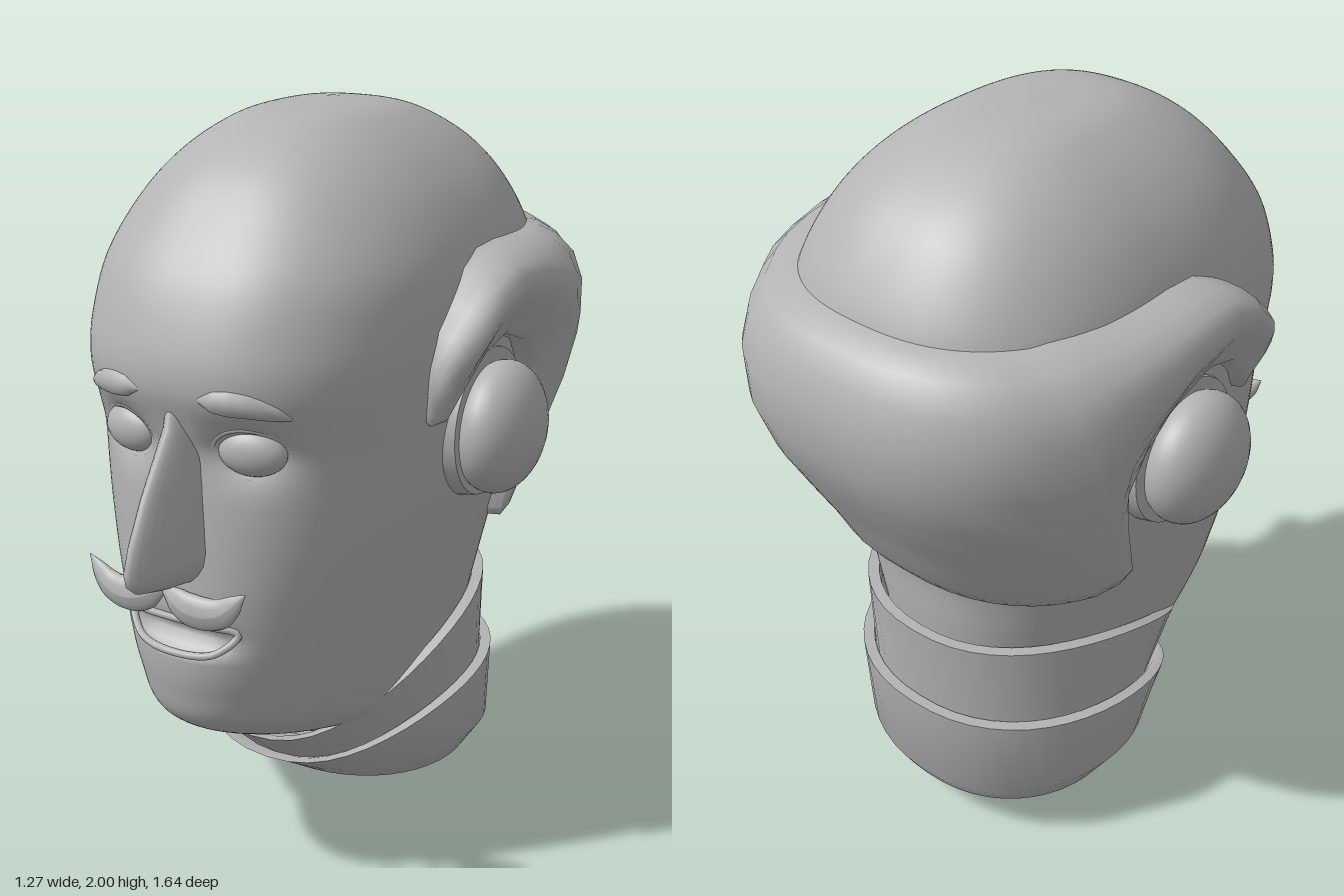
import * as THREE from 'three';
import { toCreasedNormals } from 'three/addons/utils/BufferGeometryUtils.js';

const grey = new THREE.MeshStandardMaterial({ color: 0xb3b3b3 });
grey.name = 'plain grey';
grey.side = THREE.DoubleSide;
const V = (x, y, z) => new THREE.Vector3(x, y, z);
const lerp = THREE.MathUtils.lerp;
const ZC = -0.1;

// Skin rows of points (top to bottom, left to right seen from outside)
function loft(rows, closed) {
  const n = rows[0].length, index = [];
  for (let r = 0; r < rows.length - 1; r++) {
    for (let c = 0; c < (closed ? n : n - 1); c++) {
      const d = (c + 1) % n, a = r * n, b = a + n;
      index.push(a + c, b + c, b + d, a + c, b + d, a + d);
    }
  }
  const g = new THREE.BufferGeometry().setFromPoints(rows.flat());
  g.setIndex(index);
  g.computeVertexNormals();
  return g;
}

// Tube whose radius follows a list of values, with a flattening in depth
function taperedTube(points, radii, flat) {
  const n = 28, m = 12, curve = new THREE.CatmullRomCurve3(points);
  const g = new THREE.TubeGeometry(curve, n, 1, m);
  const p = g.attributes.position, v = V(0, 0, 0);
  for (let i = 0; i <= n; i++) {
    const c = curve.getPointAt(i / n), t = (i / n) * (radii.length - 1);
    const k = Math.min(Math.floor(t), radii.length - 2);
    const r = lerp(radii[k], radii[k + 1], t - k);
    for (let j = 0; j <= m; j++) {
      const q = i * (m + 1) + j;
      v.fromBufferAttribute(p, q).sub(c).multiplyScalar(r);
      p.setXYZ(q, c.x + v.x, c.y + v.y, c.z + v.z * flat);
    }
  }
  g.computeVertexNormals();
  return g;
}

// Head sections: height, half width, front z, back z
const keys = [
  [2, 0, -0.1, -0.1], [1.985, 0.14, 0.12, -0.26], [1.945, 0.23, 0.25, -0.39], [1.87, 0.325, 0.37, -0.52],
  [1.77, 0.405, 0.47, -0.615], [1.64, 0.465, 0.57, -0.69], [1.5, 0.485, 0.63, -0.715], [1.4, 0.485, 0.645, -0.72],
  [1.3, 0.48, 0.62, -0.71], [1.2, 0.472, 0.6, -0.68], [1.0, 0.45, 0.615, -0.6], [0.85, 0.425, 0.63, -0.55],
  [0.7, 0.395, 0.64, -0.54], [0.6, 0.375, 0.63, -0.535], [0.5, 0.355, 0.595, -0.53], [0.42, 0.34, 0.47, -0.53],
  [0.35, 0.31, 0.28, -0.53], [0.25, 0.3, 0.1, -0.53],
];
const curveA = new THREE.CatmullRomCurve3(keys.map(k => V(k[0], k[1], k[2])), false, 'catmullrom');
const curveB = new THREE.CatmullRomCurve3(keys.map(k => V(k[3], 0, 0)), false, 'catmullrom');
const sections = Array.from({ length: 121 }, (_, i) => {
  const a = curveA.getPoint(i / 120), b = curveB.getPoint(i / 120);
  return { y: a.x, w: Math.max(a.y, 0), f: a.z, b: b.x };
});
function sectionAt(y) {
  let i = sections.findIndex(s => s.y <= y);
  if (i < 1) i = i < 0 ? 120 : 1;
  const s = sections[i - 1], e = sections[i], t = (s.y - y) / (s.y - e.y);
  return { y, w: lerp(s.w, e.w, t), f: lerp(s.f, e.f, t), b: lerp(s.b, e.b, t) };
}
const power = y => lerp(2.0, 2.5, THREE.MathUtils.smoothstep(y, 0.4, 1.2));
const spow = (v, e) => Math.sign(v) * Math.abs(v) ** e;
function headPoint(s, a, out = 0) {
  const e = 2 / power(s.y), c = Math.cos(a);
  const d = (c > 0 ? s.f - ZC : ZC - s.b) + out;
  return V((s.w + out) * spow(Math.sin(a), e), s.y, ZC + d * spow(c, e));
}
function faceZ(x, y) {
  const s = sectionAt(y), p = power(y);
  return ZC + (s.f - ZC) * (1 - Math.min(Math.abs(x) / s.w, 1) ** p) ** (1 / p);
}
function angleAtZ(y, z) {
  const s = sectionAt(y), d = z > ZC ? s.f - ZC : ZC - s.b;
  return Math.acos(spow(THREE.MathUtils.clamp((z - ZC) / d, -1, 1), power(y) / 2));
}

function headGeometry() {
  const rows = sections.map(s => Array.from({ length: 112 }, (_, i) => {
    const p = headPoint(s, (i / 112) * Math.PI * 2);
    if (p.z > 0.2) { // eye sockets and mouth hollow
      const eye = Math.exp(-(((Math.abs(p.x) - 0.175) / 0.085) ** 2) - ((p.y - 1.25) / 0.065) ** 2);
      const mouth = Math.exp(-((p.x / 0.14) ** 4) - ((p.y - 0.762) / 0.032) ** 4);
      p.z -= 0.05 * eye + 0.045 * mouth;
    }
    return p;
  }));
  return loft(rows, true);
}

// Band of hair: columns of lower z, lower y, upper z, upper y, thickness
function hairGeometry() {
  const side = [
    [0.2, 1.275, 0.205, 1.39, 0], [0.19, 1.265, 0.2, 1.42, 0.35], [0.15, 1.27, 0.17, 1.5, 0.65],
    [0.11, 1.34, 0.11, 1.56, 0.9], [0.03, 1.42, 0.04, 1.63, 1.05], [-0.07, 1.45, -0.04, 1.665, 1.1],
    [-0.2, 1.4, -0.14, 1.67, 1.1], [-0.275, 1.31, -0.24, 1.665, 1.1], [-0.31, 1.2, -0.34, 1.66, 1.1],
    [-0.285, 1.07, -0.42, 1.66, 1.1], [-0.235, 0.9, -0.48, 1.66, 1.05], [-0.26, 0.87, -0.52, 1.655, 1],
    [-0.32, 0.857, -0.56, 1.655, 1],
  ].map(([zb, yb, zt, yt, k]) => ({ ab: angleAtZ(yb, zb), yb, at: angleAtZ(yt, zt), yt, k }));
  const last = side[side.length - 1];
  for (let i = 1; i <= 9; i++) {
    const t = i / 9;
    side.push({ ab: lerp(last.ab, Math.PI, t), yb: lerp(0.857, 0.875, t), at: lerp(last.at, Math.PI, t), yt: 1.655, k: lerp(1, 0.92, t) });
  }
  const other = side.slice(0, -1).reverse().map(c => ({ ...c, ab: 2 * Math.PI - c.ab, at: 2 * Math.PI - c.at }));
  const profile = [[1, -0.02], [0.99, 0.025], [0.95, 0.065], [0.87, 0.098], [0.75, 0.115], [0.6, 0.115],
    [0.45, 0.1], [0.3, 0.08], [0.15, 0.06], [0.04, 0.05], [0, 0.035], [0, -0.03]];
  return toCreasedNormals(loft(profile.map(([v, o]) => [...side, ...other].map(c =>
    headPoint(sectionAt(lerp(c.yb, c.yt, v)), lerp(c.ab, c.at, v), o > 0 ? o * c.k : o))), false), 1.3);
}

// Slanted oval ring; y is a number or a rule of front-to-back position t
function ring(w, f, b, y) {
  return Array.from({ length: 48 }, (_, i) => {
    const a = (i / 48) * Math.PI * 2, t = (1 + Math.cos(a)) / 2;
    return V(w * spow(Math.sin(a), 0.9), typeof y === 'number' ? y : y(t), lerp(b, f, t));
  });
}

export function createModel() {
  const model = new THREE.Group();
  model.name = 'head';
  const add = (name, geometry) => {
    const mesh = new THREE.Mesh(geometry, grey);
    mesh.name = name;
    model.add(mesh);
    return mesh;
  };
  add('skull', headGeometry());
  add('hairBand', hairGeometry());

  // Nose: height, half width, ridge z
  const nose = [[1.42, 0.06, 0.61], [1.3, 0.07, 0.645], [1.155, 0.085, 0.745], [1.05, 0.098, 0.8],
    [0.99, 0.105, 0.82], [0.955, 0.1, 0.814], [0.93, 0.085, 0.785], [0.913, 0.07, 0.72], [0.905, 0.06, 0.6]];
  add('nose', loft(nose.map(([y, w, z]) => Array.from({ length: 21 }, (_, i) => {
    const u = i / 10 - 1;
    return V(w * u, y, lerp(0.56, z, (0.5 + 0.5 * Math.cos(Math.PI * u)) ** 0.8));
  })), false));

  // Lips
  const lips = [[-0.16, 0.785], [-0.08, 0.803], [0.08, 0.803], [0.16, 0.785], [0.11, 0.733], [0, 0.722], [-0.11, 0.733]];
  add('lips', new THREE.TubeGeometry(new THREE.CatmullRomCurve3(
    lips.map(([x, y]) => V(x, y, faceZ(x, y) + (y < 0.75 ? 0.01 : -0.002))), true), 64, 0.01, 8, true));

  for (const s of [1, -1]) {
    const label = s > 0 ? 'left' : 'right';
    // Eye with rim
    const eye = add(label + 'Eye', new THREE.SphereGeometry(1, 28, 18));
    eye.scale.set(0.088, 0.06, 0.045);
    eye.position.set(s * 0.178, 1.25, 0.545);
    eye.rotation.y = s * 0.2;
    const rim = Array.from({ length: 16 }, (_, i) => {
      const a = (i / 16) * Math.PI * 2, x = 0.178 + 0.093 * Math.cos(a), y = 1.247 + 0.066 * Math.sin(a);
      return V(s * x, y, faceZ(x, y) - 0.024);
    });
    add(label + 'Eyelid', new THREE.TubeGeometry(new THREE.CatmullRomCurve3(rim, true), 48, 0.007, 6, true));
    // Brow
    add(label + 'Brow', taperedTube([[0.085, 1.388], [0.13, 1.388], [0.2, 1.383], [0.25, 1.368], [0.29, 1.348]]
      .map(([x, y]) => V(s * x, y, faceZ(x, y) - 0.002)), [0.004, 0.027, 0.032, 0.03, 0.025, 0.017, 0.002], 0.7));
    // Moustache half
    add(label + 'Moustache', taperedTube([V(0, 0.905, 0.675), V(s * 0.08, 0.87, 0.68), V(s * 0.16, 0.875, 0.675),
      V(s * 0.235, 0.94, 0.668)], [0.012, 0.036, 0.045, 0.044, 0.038, 0.024, 0.001], 0.58));
    // Ear pad and dome
    const pad = add(label + 'EarPad', toCreasedNormals(new THREE.CylinderGeometry(0.195, 0.215, 0.09, 40), 0.6));
    pad.rotation.z = -s * Math.PI / 2;
    pad.position.set(s * 0.445, 1.205, -0.085);
    const dome = add(label + 'EarDome', new THREE.SphereGeometry(1, 32, 24));
    dome.scale.set(0.11, 0.175, 0.175);
    dome.position.set(s * 0.525, 1.197, -0.08);
  }

  // Two slanted collars, the lower one closed underneath
  const upperRim = t => 0.67 - 0.35 * t ** 2.6, lowerRim = t => 0.43 - 0.21 * t ** 3.5;
  add('upperCollar', toCreasedNormals(loft([
    ring(0.37, 0.12, -0.53, t => upperRim(t) - 0.08), ring(0.38, 0.285, -0.55, upperRim),
    ring(0.41, 0.31, -0.58, upperRim), ring(0.395, 0.19, -0.565, t => lowerRim(t) - 0.01),
  ], true), 0.9));
  add('lowerCollar', toCreasedNormals(loft([
    ring(0.38, 0.06, -0.54, t => lowerRim(t) - 0.05), ring(0.4, 0.215, -0.57, lowerRim),
    ring(0.43, 0.24, -0.6, lowerRim), ring(0.415, 0.13, -0.575, t => 0.15 + 0.26 * t * (1 - t)),
    ring(0.35, 0.08, -0.555, 0.115), ring(0.22, -0.04, -0.5, 0.045), ring(0, -0.21, -0.21, 0),
  ], true), 1));
  return model;
}
